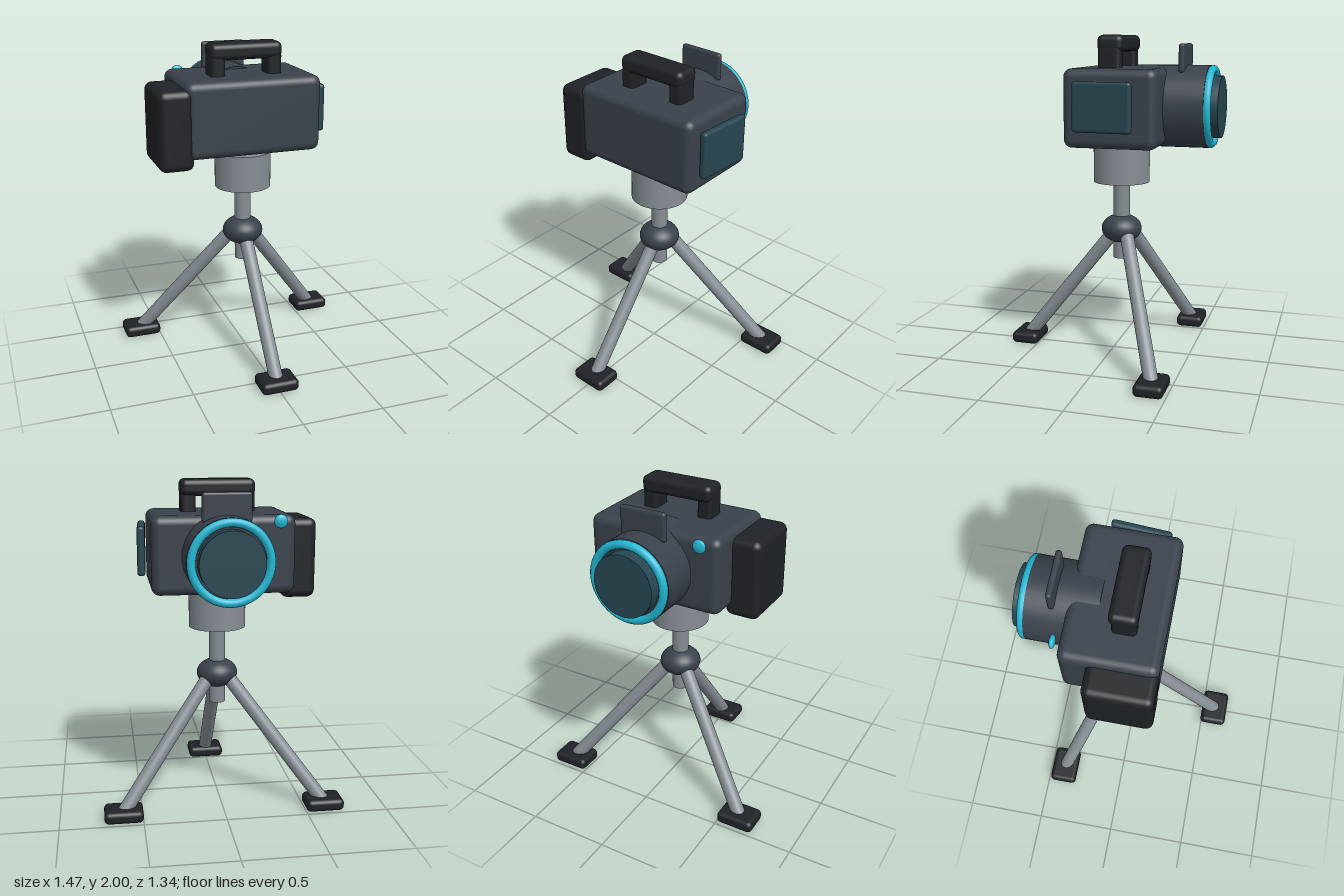
import * as THREE from 'three';
import { RoundedBoxGeometry } from 'three/addons/geometries/RoundedBoxGeometry.js';

const mat = (color) => new THREE.MeshStandardMaterial({ color });

export function createModel() {
  const model = new THREE.Group();
  const shell = mat(0x3a414b);
  const rubber = mat(0x1f2226);
  const steel = mat(0x868d94);
  const accent = mat(0x22b8d4);
  const glass = mat(0x264650);

  const add = (name, geometry, material, x, y, z) => {
    const mesh = new THREE.Mesh(geometry, material);
    mesh.name = name;
    mesh.position.set(x, y, z);
    model.add(mesh);
    return mesh;
  };
  const box = (name, w, h, d, r, material, x, y, z) =>
    add(name, new RoundedBoxGeometry(w, h, d, 4, r), material, x, y, z);

  // Straight round bar between two points
  const bar = (name, from, to, radius, material, sides = 24) => {
    const a = new THREE.Vector3(...from);
    const b = new THREE.Vector3(...to);
    const dir = b.clone().sub(a);
    const mid = a.clone().add(b).multiplyScalar(0.5);
    const mesh = add(name, new THREE.CylinderGeometry(radius, radius, dir.length(), sides), material, mid.x, mid.y, mid.z);
    mesh.quaternion.setFromUnitVectors(new THREE.Vector3(0, 1, 0), dir.normalize());
    return mesh;
  };

  // Camera body, side grip and tilted side screen
  box('body', 0.84, 0.46, 0.56, 0.05, shell, 0, 1.58, -0.085);
  box('grip', 0.21, 0.48, 0.4, 0.045, rubber, -0.478, 1.53, -0.003);
  const screen = box('sideScreen', 0.046, 0.29, 0.355, 0.018, glass, 0.46, 1.595, -0.058);
  screen.rotation.y = -0.065;

  // Carrying handle
  box('handleBar', 0.45, 0.1, 0.16, 0.035, rubber, 0, 1.95, -0.036);
  for (const side of [-1, 1]) {
    box('handlePost', 0.09, 0.16, 0.14, 0.025, rubber, side * 0.178, 1.86, -0.032);
  }

  // Lens barrel, bright ring and front glass
  const lensY = 1.577;
  bar('lensBarrel', [0, lensY, -0.19], [0, lensY, -0.6], 0.247, shell, 48);
  add('lensRing', new THREE.TorusGeometry(0.222, 0.025, 12, 64), accent, 0, lensY, -0.615);
  bar('lensGlass', [0, lensY, -0.56], [0, lensY, -0.675], 0.185, glass, 48);

  // Sight plate over the lens and the release button
  box('sightPlate', 0.285, 0.17, 0.036, 0.016, shell, 0, 1.865, -0.449);
  const button = add('releaseButton', new THREE.SphereGeometry(0.04, 24, 16), accent, -0.318, 1.778, -0.402);
  button.scale.z = 0.45;

  // Tripod head, centre column and hub
  const axisZ = -0.053;
  bar('tripodHead', [0, 1.1, axisZ], [0, 1.325, axisZ], 0.175, steel, 40);
  bar('centreColumn', [0, 0.61, axisZ], [0, 1.12, axisZ], 0.051, steel);
  const hub = add('tripodHub', new THREE.SphereGeometry(0.127, 32, 20), shell, 0, 0.8, axisZ);
  hub.scale.y = 0.71;

  // Three legs with flat feet
  const legs = [
    { top: [0, 0.77, 0.0], foot: [0, 0.58] },
    { top: [0.07, 0.77, -0.105], foot: [0.617, -0.4] },
    { top: [-0.07, 0.77, -0.105], foot: [-0.617, -0.4] },
  ];
  for (const { top, foot: [x, z] } of legs) {
    bar('leg', top, [x, 0.04, z], 0.043, steel);
    box('foot', 0.234, 0.074, 0.176, 0.028, rubber, x, 0.037, z);
  }

  return model;
}
